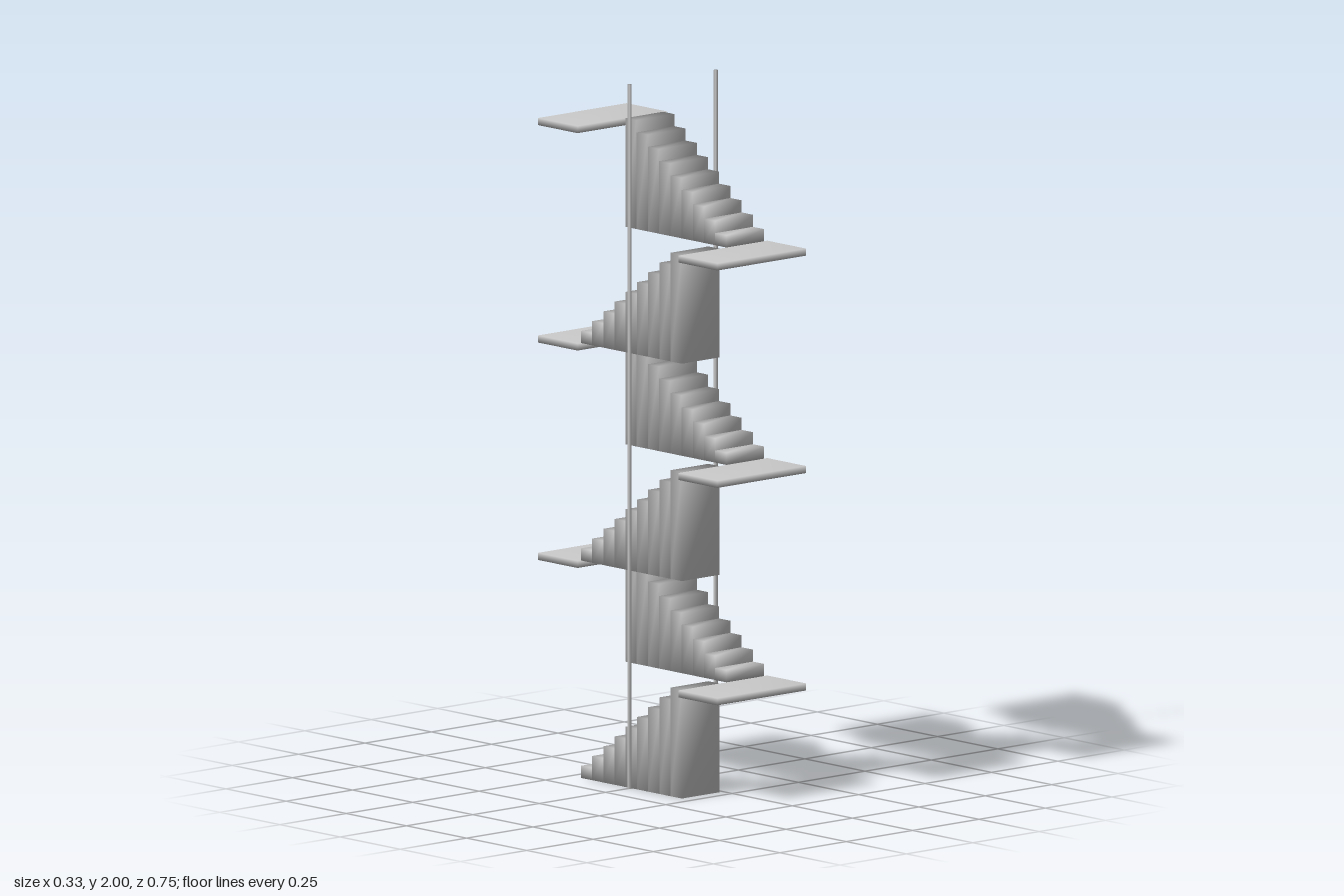
import * as THREE from 'three';
import { mergeVertices } from 'three/addons/utils/BufferGeometryUtils.js';

const FLIGHTS = 6, STEPS = 9;
const RISE = 0.0343, TREAD = 0.0467;
const FLIGHT_RISE = RISE * STEPS;
const FRONT = 0.212, BACK = -0.208, END = 0.373;

const material = new THREE.MeshStandardMaterial({ color: 0xcccccc });

// Box between two corners, with normals shared softly around its corners
function softBox(name, [x0, y0, z0], [x1, y1, z1]) {
  const box = new THREE.BoxGeometry(x1 - x0, y1 - y0, z1 - z0);
  box.deleteAttribute('normal');
  box.deleteAttribute('uv');
  const geometry = mergeVertices(box);
  geometry.computeVertexNormals();
  const mesh = new THREE.Mesh(geometry, material);
  mesh.name = name;
  mesh.position.set((x0 + x1) / 2, (y0 + y1) / 2, (z0 + z1) / 2);
  return mesh;
}

// One flight: solid steps of growing height, rising to the front or to the back
function createFlight(base, towardsFront) {
  const flight = new THREE.Group();
  flight.name = 'flight';
  const [x0, x1] = towardsFront ? [-0.155, -0.013] : [0.013, 0.155];
  for (let i = 0; i < STEPS; i++) {
    const z = towardsFront ? BACK + i * TREAD : FRONT - (i + 1) * TREAD;
    flight.add(softBox('step', [x0, base, z], [x1, base + (i + 1) * RISE, z + TREAD]));
  }
  return flight;
}

export function createModel() {
  const model = new THREE.Group();
  model.name = 'staircase';

  // Flights alternate sides, each ending flush with a landing
  for (let f = 0; f < FLIGHTS; f++) {
    const towardsFront = f % 2 === 0;
    const base = f * FLIGHT_RISE, top = base + FLIGHT_RISE;
    model.add(createFlight(base, towardsFront));
    const [z0, z1] = towardsFront ? [FRONT, END] : [-END, BACK];
    model.add(softBox('landing', [-0.167, top - 0.02, z0], [0.167, top, z1]));
  }

  // Thin full-height poles beside the flights
  for (const side of [-1, 1]) {
    const x = side * 0.162;
    model.add(softBox('pole', [x - 0.004, 0, -0.001], [x + 0.004, 2, 0.007]));
  }
  return model;
}
